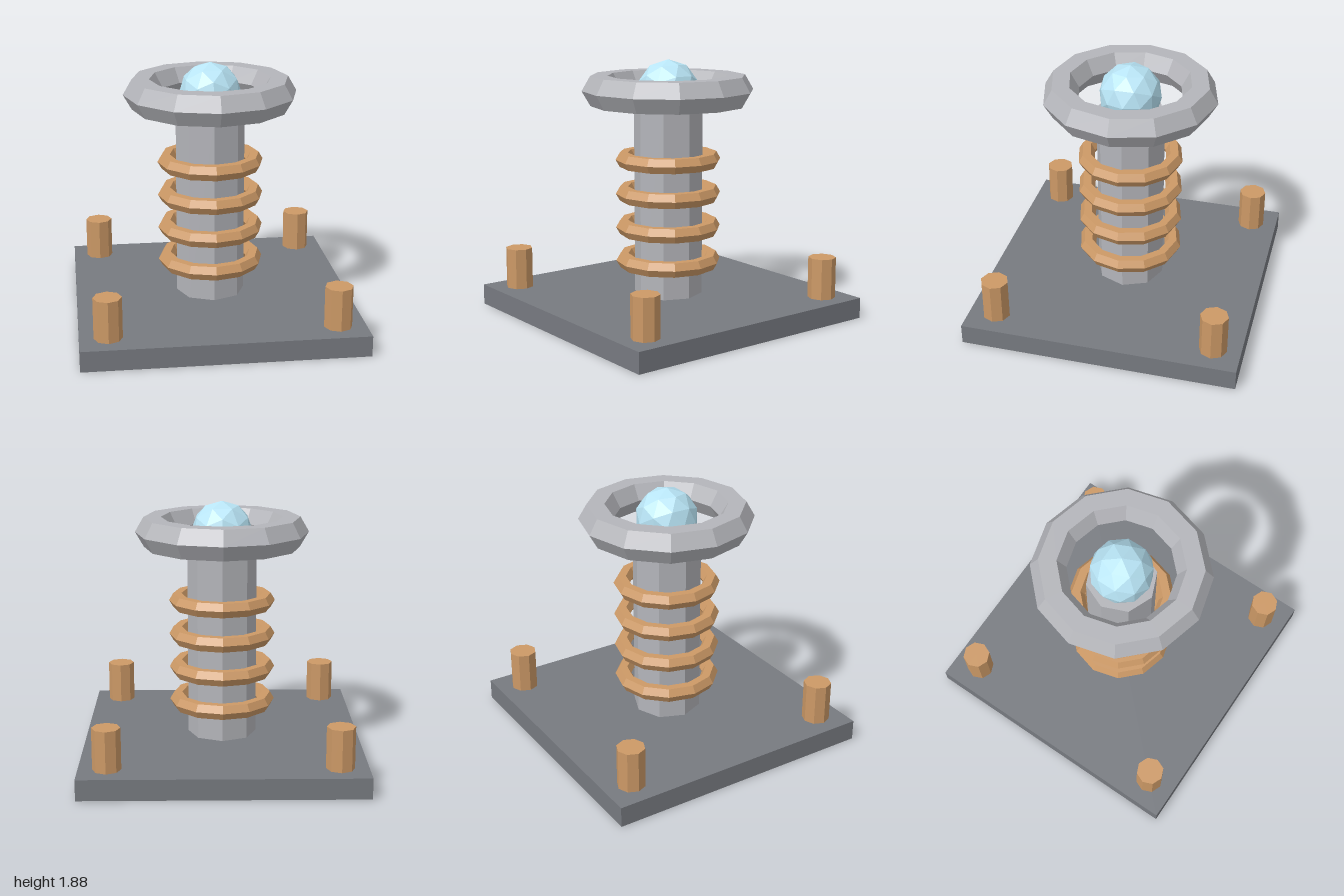
import * as THREE from 'three';

const material = (color) => new THREE.MeshStandardMaterial({ color, flatShading: true });

export function createModel() {
  const model = new THREE.Group();
  model.name = 'coilTower';

  const slate = material(0x777a80);
  const steel = material(0xb4b5ba);
  const copper = material(0xcc9966);
  const glass = material(0xb8e4f5);

  const add = (name, geometry, mat, x, y, z) => {
    const mesh = new THREE.Mesh(geometry, mat);
    mesh.name = name;
    mesh.position.set(x, y, z);
    model.add(mesh);
    return mesh;
  };

  // Horizontal ring with a six-sided section and twelve segments
  const ringGeometry = (radius, tube) =>
    new THREE.TorusGeometry(radius, tube, 6, 12).rotateX(Math.PI / 2);

  // Square base plate
  add('base', new THREE.BoxGeometry(2, 0.15, 2), slate, 0, 0.075, 0);

  // Octagonal column standing on the plate
  const columnBottom = 0.15, columnTop = 1.515;
  add('column', new THREE.CylinderGeometry(0.25, 0.25, columnTop - columnBottom, 8),
    steel, 0, (columnBottom + columnTop) / 2, 0);

  // Four coil rings floating around the column
  const coil = ringGeometry(0.325, 0.06);
  for (let i = 0; i < 4; i++) add(`coilRing${i + 1}`, coil, copper, 0, 0.4 + i * 0.25, 0);

  // Large top ring with the faceted orb at its centre
  add('topRing', ringGeometry(0.5, 0.125), steel, 0, 1.653, 0);
  add('orb', new THREE.IcosahedronGeometry(0.225, 1), glass, 0, 1.65, 0);

  // Corner posts
  const post = new THREE.CylinderGeometry(0.1, 0.1, 0.3, 8);
  for (const x of [-0.8, 0.8]) {
    for (const z of [-0.8, 0.8]) {
      add(`${z > 0 ? 'front' : 'back'}${x > 0 ? 'Left' : 'Right'}Post`, post, copper, x, 0.3, z);
    }
  }

  return model;
}
